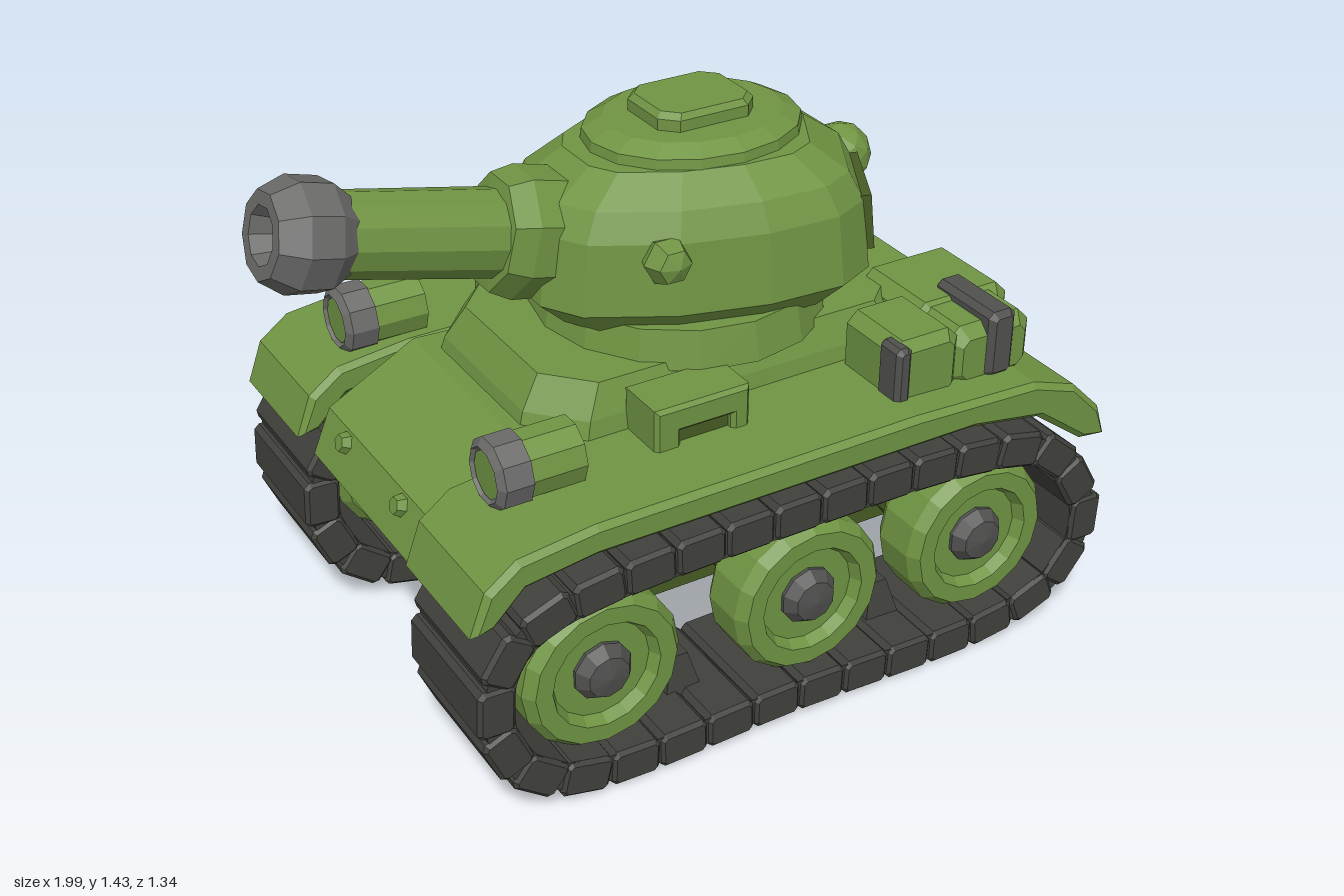
import * as THREE from 'three';

const flat = (color, name) => {
  const m = new THREE.MeshStandardMaterial({ color, flatShading: true });
  m.name = name;
  return m;
};

export function createModel() {
  const green = flat(0x709443, 'armour green');
  const darkGreen = flat(0x465b24, 'dark green');
  const trackMat = flat(0x40403c, 'track black');
  const grey = flat(0x6a6b69, 'steel grey');
  const hubMat = flat(0x50514f, 'hub grey');
  const tank = new THREE.Group();
  tank.name = 'tank';

  const add = (geo, mat, name, x = 0, y = 0, z = 0, parent = tank) => {
    const m = new THREE.Mesh(geo, mat);
    m.name = name;
    m.position.set(x, y, z);
    parent.add(m);
    return m;
  };

  // side profile (x, y) extruded between two z values with chamfered edges
  const prismGeo = (pts, za, zb, bevel = 0.02) => {
    const z0 = Math.min(za, zb), z1 = Math.max(za, zb);
    const geo = new THREE.ExtrudeGeometry(new THREE.Shape(pts.map(p => new THREE.Vector2(...p))), {
      depth: z1 - z0 - 2 * bevel, bevelEnabled: bevel > 0, bevelSize: bevel,
      bevelThickness: bevel, bevelOffset: -bevel, bevelSegments: 1, steps: 1
    });
    return geo.translate(0, 0, z0 + bevel);
  };
  const prism = (pts, za, zb, bevel, mat, name) => add(prismGeo(pts, za, zb, bevel), mat, name);

  // rectangle with cut corners
  const cut = (x0, x1, y0, y1, c) => [[x0 + c, y0], [x1 - c, y0], [x1, y0 + c], [x1, y1 - c],
    [x1 - c, y1], [x0 + c, y1], [x0, y1 - c], [x0, y0 + c]];

  // half outline (x, z) mirrored in z and stacked as scaled rings [y, scale]
  const loft = (half, cx, rings) => {
    const outline = [...half, ...half.map(([x, z]) => [x, -z]).reverse()];
    const n = outline.length, pos = [], idx = [];
    for (const [y, s] of rings)
      for (const [x, z] of outline) pos.push(cx + (x - cx) * s, y, z * s);
    for (let r = 0; r < rings.length - 1; r++)
      for (let i = 0; i < n; i++) {
        const a = r * n + i, b = r * n + (i + 1) % n;
        idx.push(a, b, b + n, a, b + n, a + n);
      }
    const top = (rings.length - 1) * n;
    for (let i = 1; i < n - 1; i++) {
      idx.push(top, top + i, top + i + 1);
      idx.push(0, i + 1, i);
    }
    const g = new THREE.BufferGeometry();
    g.setAttribute('position', new THREE.Float32BufferAttribute(pos, 3));
    g.setIndex(idx);
    g.computeVertexNormals();
    return g;
  };
  const lathe = (pts, seg) => new THREE.LatheGeometry(pts.map(p => new THREE.Vector2(...p)), seg);

  // hull and raised deck
  prism([[-0.6, 0.2], [0.75, 0.2], [0.79, 0.24], [0.9, 0.58], [0.88, 0.66], [0.8, 0.72],
    [-0.5, 0.77], [-0.74, 0.64], [-0.79, 0.52]], -0.315, 0.315, 0.025, green, 'hull');
  add(loft([[-0.48, 0.22], [-0.36, 0.35], [0.56, 0.35], [0.66, 0.26]], 0.1,
    [[0.7, 1], [0.8, 0.95], [0.88, 0.86]]), green, 'deck');
  prism(cut(0.5, 0.74, 0.7, 0.88, 0.03), -0.19, 0.19, 0.015, green, 'engineDeck');
  add(new THREE.CylinderGeometry(0.36, 0.38, 0.1, 16), green, 'turretRing', 0.1, 0.91, 0);

  // track path, along the middle of the links
  const path = new THREE.CatmullRomCurve3([[-0.5, 0.58], [0.05, 0.6], [0.55, 0.59], [0.78, 0.54],
    [0.89, 0.43], [0.945, 0.28], [0.87, 0.13], [0.7, 0.055], [0.05, 0.055], [-0.56, 0.065],
    [-0.71, 0.16], [-0.77, 0.31], [-0.74, 0.47], [-0.65, 0.545]]
    .map(([x, y]) => new THREE.Vector3(x, y, 0)), true, 'centripetal');
  const links = 30, linkLen = path.getLength() / links;
  const offsetLoop = d => Array.from({ length: 60 }, (_, i) => {
    const p = path.getPointAt(i / 60), t = path.getTangentAt(i / 60);
    return new THREE.Vector2(p.x - t.y * d, p.y + t.x * d);
  });
  const beltShape = new THREE.Shape(offsetLoop(0.03));
  beltShape.holes.push(new THREE.Path(offsetLoop(-0.045)));
  const beltGeo = new THREE.ExtrudeGeometry(beltShape, { depth: 0.344, bevelEnabled: false });
  beltGeo.translate(0, 0, -0.172);
  const linkGeo = prismGeo(cut(-linkLen * 0.495, linkLen * 0.495, -0.05, 0.047, 0.014), -0.18, 0.18, 0.01);
  const toothGeo = new THREE.CylinderGeometry(0.035, 0.075, 0.11, 4, 1).rotateY(Math.PI / 4);

  // road wheel
  const wheelGeo = lathe([[0, -0.03], [0.13, -0.03], [0.145, -0.05], [0.19, -0.05], [0.212, -0.02],
    [0.212, 0.09], [0.19, 0.12], [0.145, 0.12], [0.13, 0.09], [0, 0.09]], 16).rotateX(Math.PI / 2);
  const hubGeo = lathe([[0, 0.05], [0.075, 0.05], [0.078, 0.1], [0.055, 0.13], [0, 0.14]], 10).rotateX(Math.PI / 2);
  const axleGeo = new THREE.CylinderGeometry(0.11, 0.11, 0.2, 10).rotateX(Math.PI / 2);

  for (const s of [1, -1]) {
    // shaded hull side behind the wheels
    prism([[-0.57, 0.225], [0.75, 0.225], [0.85, 0.53], [0.82, 0.66], [-0.62, 0.66], [-0.75, 0.52]],
      s * 0.31, s * 0.319, 0, darkGreen, 'hullSidePanel');

    const track = new THREE.Group();
    track.name = 'track';
    track.position.z = s * 0.49;
    tank.add(track);
    add(beltGeo, trackMat, 'trackBelt', 0, 0, 0, track);
    for (let i = 0; i < links; i++) {
      const p = path.getPointAt(i / links), t = path.getTangentAt(i / links);
      add(linkGeo, trackMat, 'trackLink', p.x, p.y, 0, track).rotation.z = Math.atan2(t.y, t.x);
    }
    for (const x of [-0.2, 0.1, 0.4]) add(toothGeo, trackMat, 'trackTooth', x, 0.13, 0, track);

    for (const x of [-0.46, 0.12, 0.635]) {
      const wheel = new THREE.Group();
      wheel.name = 'wheel';
      wheel.position.set(x, 0.3, s * 0.5);
      if (s < 0) wheel.rotation.y = Math.PI;
      tank.add(wheel);
      add(wheelGeo, green, 'wheelRim', 0, 0, 0, wheel);
      add(hubGeo, hubMat, 'wheelHub', 0, 0, 0, wheel);
      add(axleGeo, darkGreen, 'axle', 0, 0, -0.1, wheel);
    }

    // fender with drooping ends
    prism([[-0.82, 0.56], [-0.76, 0.57], [-0.68, 0.65], [-0.5, 0.675], [0.55, 0.675], [0.76, 0.64],
      [0.91, 0.53], [0.99, 0.52], [0.96, 0.61], [0.87, 0.7], [0.74, 0.745], [0.38, 0.76],
      [-0.5, 0.755], [-0.7, 0.73], [-0.78, 0.67]], s * 0.305, s * 0.66, 0.015, green, 'fender');

    // rear stowage boxes with straps
    prism(cut(0.54, 0.83, 0.72, 0.9, 0.035), s * 0.16, s * 0.43, 0.025, green, 'rearBox');
    prism(cut(0.55, 0.8, 0.72, 0.89, 0.035), s * 0.3, s * 0.56, 0.03, green, 'rearBoxOuter');
    prism(cut(0.78, 0.85, 0.73, 0.785, 0.01), s * 0.25, s * 0.48, 0.01, green, 'rearLedge');
    prism(cut(0.375, 0.57, 0.72, 0.905, 0.03), s * 0.33, s * 0.565, 0.025, green, 'sideBox');
    prism(cut(0.37, 0.415, 0.74, 0.9, 0.012), s * 0.49, s * 0.575, 0.012, hubMat, 'sideStrap');
    prism(cut(0.65, 0.73, 0.74, 0.92, 0.015), s * 0.34, s * 0.575, 0.015, hubMat, 'rearStrap');

    // bracket on the fender, with a dark opening
    prism([[-0.24, 0.74], [-0.17, 0.74], [-0.17, 0.795], [-0.03, 0.795], [-0.03, 0.74], [0.02, 0.74],
      [0.02, 0.865], [-0.24, 0.865]], s * 0.32, s * 0.47, 0.01, green, 'fenderBracket');
    prism([[-0.175, 0.74], [-0.025, 0.74], [-0.025, 0.8], [-0.175, 0.8]], s * 0.44, s * 0.449, 0,
      darkGreen, 'bracketOpening');

    // headlight with a rim and an inset lens
    add(new THREE.CylinderGeometry(0.083, 0.083, 0.15, 10).rotateZ(Math.PI / 2), green, 'headlight', -0.51, 0.805, s * 0.415);
    add(lathe([[0, 0], [0.09, 0], [0.09, 0.07], [0.07, 0.085], [0.06, 0.07], [0, 0.07]], 10).rotateZ(Math.PI / 2),
      grey, 'headlightRim', -0.575, 0.805, s * 0.415);
    add(new THREE.CylinderGeometry(0.06, 0.06, 0.008, 10).rotateZ(Math.PI / 2), green, 'headlightLens', -0.648, 0.805, s * 0.415);

    // bolts
    const bolt = new THREE.CylinderGeometry(0.022, 0.034, 0.04, 6).rotateZ(-Math.PI / 2);
    add(bolt, green, 'rearBolt', 0.89, 0.6, s * 0.16);
    add(bolt, green, 'frontBolt', -0.755, 0.61, s * 0.16).rotation.z = Math.PI * 0.9;

    // turret side knob and rear plate
    add(new THREE.SphereGeometry(0.062, 6, 4).rotateX(Math.PI / 2), green, 'turretKnob', -0.1, 1.14, s * 0.28);
    const plate = add(new THREE.BoxGeometry(0.25, 0.145, 0.03), darkGreen, 'rearPlate', 0.5, 1.12, s * 0.212);
    plate.rotation.set(-0.1, Math.atan2(0.23, s * 0.12), 0, 'YXZ');
  }

  // turret
  add(loft([[-0.34, 0.1], [-0.28, 0.2], [-0.08, 0.31], [0.14, 0.37], [0.34, 0.38], [0.45, 0.33], [0.575, 0.1]], 0.12,
    [[0.93, 0.84], [1.0, 1], [1.18, 0.955], [1.25, 0.87], [1.315, 0.66]]), green, 'turret');
  add(lathe([[0, 0], [0.285, 0], [0.28, 0.035], [0.23, 0.06], [0, 0.065]], 16), green, 'turretDome', 0.14, 1.305, 0)
    .scale.z = 0.83;
  add(loft([[0, 0.07], [0.04, 0.11], [0.23, 0.11], [0.27, 0.07]], 0.135, [[1.36, 1], [1.395, 1], [1.41, 0.9]]),
    green, 'hatch');
  add(new THREE.IcosahedronGeometry(0.083, 1), green, 'rearKnob', 0.585, 1.145, 0);

  // gun, built along local y and tilted forwards
  const gun = new THREE.Group();
  gun.name = 'gun';
  gun.position.set(-0.3, 1.145, 0);
  gun.rotation.z = Math.PI / 2 - 0.235;
  tank.add(gun);
  add(lathe([[0, -0.1], [0.16, -0.1], [0.165, 0.06], [0.145, 0.12], [0.1, 0.125], [0, 0.125]], 8).rotateY(Math.PI / 8),
    green, 'mantlet', 0, 0, 0, gun).scale.z = 0.85;
  add(new THREE.CylinderGeometry(0.102, 0.11, 0.48, 12), green, 'barrel', 0, 0.32, 0, gun);
  add(lathe([[0, 0.5], [0.1, 0.5], [0.135, 0.55], [0.138, 0.63], [0.105, 0.695], [0.07, 0.695], [0.055, 0.63], [0, 0.63]], 9),
    grey, 'muzzle', 0, 0, 0, gun);

  return tank;
}
